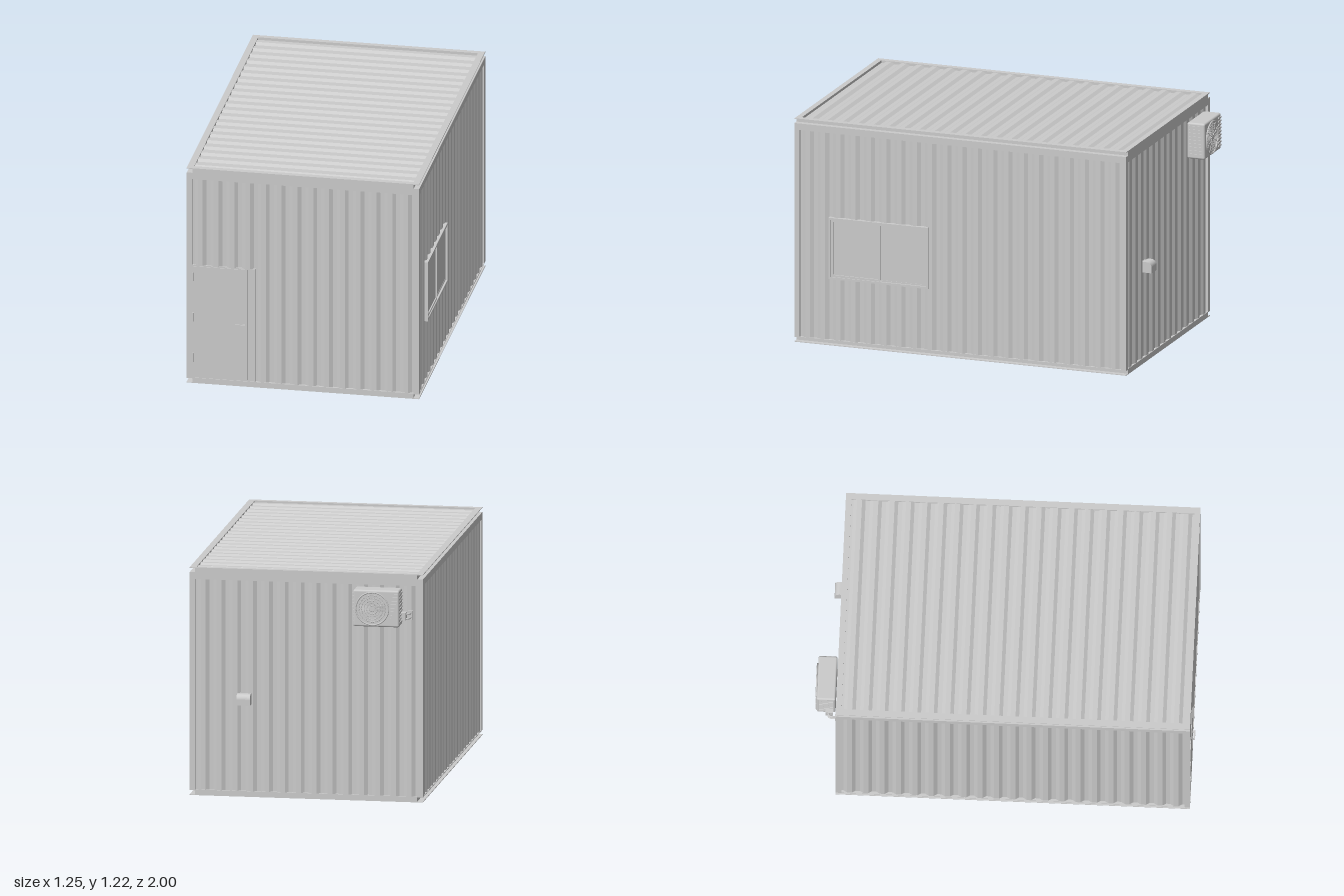
import * as THREE from 'three';
import { RoundedBoxGeometry } from 'three/addons/geometries/RoundedBoxGeometry.js';

const mat = new THREE.MeshStandardMaterial({ color: 0xcccccc, side: THREE.DoubleSide });
const flat = new THREE.MeshStandardMaterial({ color: 0xcccccc, flatShading: true, side: THREE.DoubleSide });

// Overall limits of the cabin
const X0 = -0.627, X1 = 0.618, Z0 = -0.882, Z1 = 0.985, TOP = 1.222, RAIL = 0.03;
const CX = (X0 + X1) / 2, CZ = (Z0 + Z1) / 2;
const RIB = 0.011;

function add(parent, name, geometry, material = mat) {
  const mesh = new THREE.Mesh(geometry, material);
  mesh.name = name;
  parent.add(mesh);
  return mesh;
}

// Box given by its limits on each axis
function box(parent, name, x0, x1, y0, y1, z0, z1) {
  const g = new THREE.BoxGeometry(x1 - x0, y1 - y0, z1 - z0);
  g.translate((x0 + x1) / 2, (y0 + y1) / 2, (z0 + z1) / 2);
  return add(parent, name, g);
}

// Trapezoid-ribbed sheet: width along x, ribs rising in +y, extruded along z
function ribbedSheet(width, length, count) {
  const p = width / count, s = new THREE.Shape();
  s.moveTo(0, -0.006);
  s.lineTo(width, -0.006);
  s.lineTo(width, 0);
  for (let i = count - 1; i >= 0; i--) {
    s.lineTo((i + 0.87) * p, 0);
    s.lineTo((i + 0.65) * p, RIB);
    s.lineTo((i + 0.35) * p, RIB);
    s.lineTo((i + 0.13) * p, 0);
  }
  s.lineTo(0, 0);
  return new THREE.ExtrudeGeometry(s, { depth: length, bevelEnabled: false });
}

// Upright ribbed wall centred on x, facing +z
function wall(parent, name, width, y0, y1, count) {
  const g = ribbedSheet(width, y1 - y0, count);
  g.rotateX(Math.PI / 2);
  g.translate(-width / 2, y1, -RIB - 0.003);
  return add(parent, name, g, flat);
}

function buildFrame(root) {
  const frame = new THREE.Group();
  frame.name = 'frame';
  root.add(frame);
  // Top and bottom rails: flush ends, open channels on the long sides
  for (const y of [0, TOP - RAIL]) {
    const t = 0.004;
    box(frame, 'frontRail', X0 + RAIL, X1 - RAIL, y, y + RAIL, Z1 - 0.03, Z1);
    box(frame, 'backRail', X0 + RAIL, X1 - RAIL, y, y + RAIL, Z0, Z0 + 0.03);
    for (const [a, b, web] of [[X0, X0 + RAIL, X0 + RAIL], [X1 - RAIL, X1, X1 - RAIL - t]]) {
      box(frame, 'sideRailLowerFlange', a, b, y, y + t, Z0, Z1);
      box(frame, 'sideRailUpperFlange', a, b, y + RAIL - t, y + RAIL, Z0, Z1);
      box(frame, 'sideRailWeb', web, web + t, y, y + RAIL, Z0, Z1);
    }
  }
  // Corner posts and the strip under the top rail
  for (const x of [X0, X1 - RAIL]) {
    for (const z of [Z0, Z1 - RAIL]) box(frame, 'cornerPost', x, x + RAIL, RAIL, TOP - RAIL, z, z + RAIL);
    box(frame, 'sideHeader', x, x + RAIL, 1.16, TOP - RAIL, Z0 + RAIL, Z1 - RAIL);
  }
  for (const z of [Z0, Z1 - RAIL]) box(frame, 'endHeader', X0 + RAIL, X1 - RAIL, 1.16, TOP - RAIL, z, z + RAIL);
  box(frame, 'floor', X0 + 0.02, X1 - 0.02, 0.024, 0.034, Z0 + 0.02, Z1 - 0.02);
}

function buildShell(root) {
  const w = X1 - X0 - 2 * RAIL, d = Z1 - Z0 - 2 * RAIL, p = w / 14;
  // Front wall leaves a four-rib gap for the door
  const doorW = 4 * p;
  wall(root, 'frontWall', w - doorW, RAIL, 1.16, 10).position.set(CX + doorW / 2, 0, Z1);
  wall(root, 'frontWallOverDoor', doorW, 0.67, 1.16, 4).position.set(X0 + RAIL + doorW / 2, 0, Z1);
  const back = wall(root, 'backWall', w, RAIL, 1.16, 14);
  back.position.set(CX, 0, Z0);
  back.rotation.y = Math.PI;
  for (const [x, turn, name] of [[X1, 1, 'leftWall'], [X0, -1, 'rightWall']]) {
    const side = wall(root, name, d, RAIL, 1.16, 21);
    side.position.set(x, 0, CZ);
    side.rotation.y = turn * Math.PI / 2;
  }
  // Roof sheet with ribs across the width
  const roof = ribbedSheet(d, w, 21);
  roof.rotateY(Math.PI / 2);
  roof.translate(X0 + RAIL, TOP - RIB - 0.003, Z1 - RAIL);
  add(root, 'roofSheet', roof, flat);
}

function buildDoor(root) {
  const door = new THREE.Group();
  door.name = 'door';
  root.add(door);
  const x0 = X0 + RAIL, x1 = x0 + 4 * (X1 - X0 - 2 * RAIL) / 14;
  box(door, 'doorSurround', x0, x1, RAIL, 0.67, Z1 - 0.025, Z1 - 0.004);
  box(door, 'doorLeaf', x0 + 0.006, -0.3, 0.04, 0.664, Z1 - 0.02, Z1);
  box(door, 'handleStem', -0.326, -0.314, 0.346, 0.354, Z1 - 0.005, Z1 + 0.012);
  box(door, 'handleLever', -0.366, -0.312, 0.346, 0.354, Z1 + 0.009, Z1 + 0.015);
  for (const y of [0.12, 0.35, 0.58]) box(door, 'hinge', x0, x0 + 0.008, y, y + 0.05, Z1 - 0.004, Z1 + 0.003);
}

// Rectangular ring standing in the z-y plane on the left wall
function sash(parent, name, z0, z1, y0, y1, border, x, depth) {
  box(parent, name, x, x + depth, y0, y0 + border, z0, z1);
  box(parent, name, x, x + depth, y1 - border, y1, z0, z1);
  box(parent, name, x, x + depth, y0 + border, y1 - border, z0, z0 + border);
  box(parent, name, x, x + depth, y0 + border, y1 - border, z1 - border, z1);
}

function buildWindow(root) {
  const win = new THREE.Group();
  win.name = 'window';
  root.add(win);
  sash(win, 'windowFrame', 0.23, 0.79, 0.365, 0.7, 0.012, X1 - 0.02, 0.03);
  sash(win, 'slidingSash', 0.502, 0.778, 0.377, 0.688, 0.011, X1 - 0.012, 0.017);
  sash(win, 'fixedSash', 0.242, 0.515, 0.377, 0.688, 0.008, X1 - 0.014, 0.014);
  box(win, 'glass', X1 - 0.01, X1 - 0.002, 0.37, 0.695, 0.235, 0.785);
}

function buildAirConditioner(root) {
  const unit = new THREE.Group();
  unit.name = 'airConditioner';
  root.add(unit);
  const body = new RoundedBoxGeometry(0.246, 0.196, 0.1, 3, 0.01);
  body.translate(-0.395, 1.053, -0.937);
  add(unit, 'unitBody', body);
  // Fan guard of rings and spokes over the blades
  const fan = new THREE.Group();
  fan.name = 'fan';
  fan.position.set(-0.375, 1.053, -0.991);
  unit.add(fan);
  for (let r = 0.015; r < 0.09; r += 0.014)
    add(fan, 'guardRing', new THREE.TorusGeometry(r, 0.002, 6, 32));
  add(fan, 'fanRim', new THREE.TorusGeometry(0.087, 0.004, 8, 40));
  add(fan, 'fanHub', new THREE.CylinderGeometry(0.014, 0.014, 0.008, 20).rotateX(Math.PI / 2));
  for (let i = 0; i < 12; i++)
    add(fan, 'guardSpoke', new THREE.BoxGeometry(0.075, 0.003, 0.003).translate(0.05, 0, -0.001)).rotation.z = i * Math.PI / 6;
  for (let i = 0; i < 4; i++)
    add(fan, 'fanBlade', new THREE.BoxGeometry(0.055, 0.035, 0.002).rotateX(0.12).translate(0.042, 0, 0.003)).rotation.z = i * Math.PI / 2;
  // Slats on both ends and beside the fan
  for (let i = 0; i < 9; i++) {
    const y = 0.975 + i * 0.019;
    box(unit, 'endSlat', -0.522, -0.515, y, y + 0.008, -0.975, -0.9);
    box(unit, 'endSlat', -0.275, -0.268, y, y + 0.008, -0.975, -0.9);
    box(unit, 'frontSlat', -0.51, -0.472, y, y + 0.008, -0.992, -0.985);
  }
  // Wall brackets, valve block and pipes
  for (const x of [-0.48, -0.32]) box(unit, 'wallBracket', x, x + 0.012, 0.951, 0.958, -0.96, Z0);
  box(unit, 'valveBlock', -0.545, -0.515, 0.985, 1.025, -0.94, -0.9);
  for (const y of [0.992, 1.016]) {
    const path = new THREE.CatmullRomCurve3([
      new THREE.Vector3(-0.54, y, -0.925), new THREE.Vector3(-0.556, y, -0.92),
      new THREE.Vector3(-0.562, y, -0.905), new THREE.Vector3(-0.562, y, -0.875)]);
    add(unit, 'coolantPipe', new THREE.TubeGeometry(path, 12, 0.005, 8));
  }
  box(unit, 'pipePlate', -0.574, -0.55, 0.98, 1.028, -0.888, -0.878);
}

// Hooded vent with a rounded brow, open underneath
function buildVent(root) {
  const vent = new THREE.Group();
  vent.name = 'ventHood';
  root.add(vent);
  const outline = (t) => {
    const s = new THREE.Shape();
    s.moveTo(-0.012, 0.497);
    s.lineTo(0.046 - t, 0.497);
    s.lineTo(0.046 - t, 0.527);
    s.absarc(0.018, 0.527, 0.028 - t, 0, Math.PI / 2, false);
    s.lineTo(-0.012, 0.555 - t);
    return s;
  };
  const cheek = outline(0);
  const brow = outline(0);
  const inner = outline(0.004).getPoints(8);
  for (const p of inner.slice().reverse()) brow.lineTo(p.x, p.y);
  const place = (name, shape, depth, x) => {
    const g = new THREE.ExtrudeGeometry(shape, { depth, bevelEnabled: false, curveSegments: 8 });
    g.rotateY(Math.PI / 2);
    g.translate(x, 0, Z0);
    add(vent, name, g, flat);
  };
  place('ventBrow', brow, 0.068, 0.291);
  place('ventCheek', cheek, 0.004, 0.289);
  place('ventCheek', cheek, 0.004, 0.357);
}

export function createModel() {
  const root = new THREE.Group();
  root.name = 'cabin';
  buildFrame(root);
  buildShell(root);
  buildDoor(root);
  buildWindow(root);
  buildAirConditioner(root);
  buildVent(root);
  return root;
}
